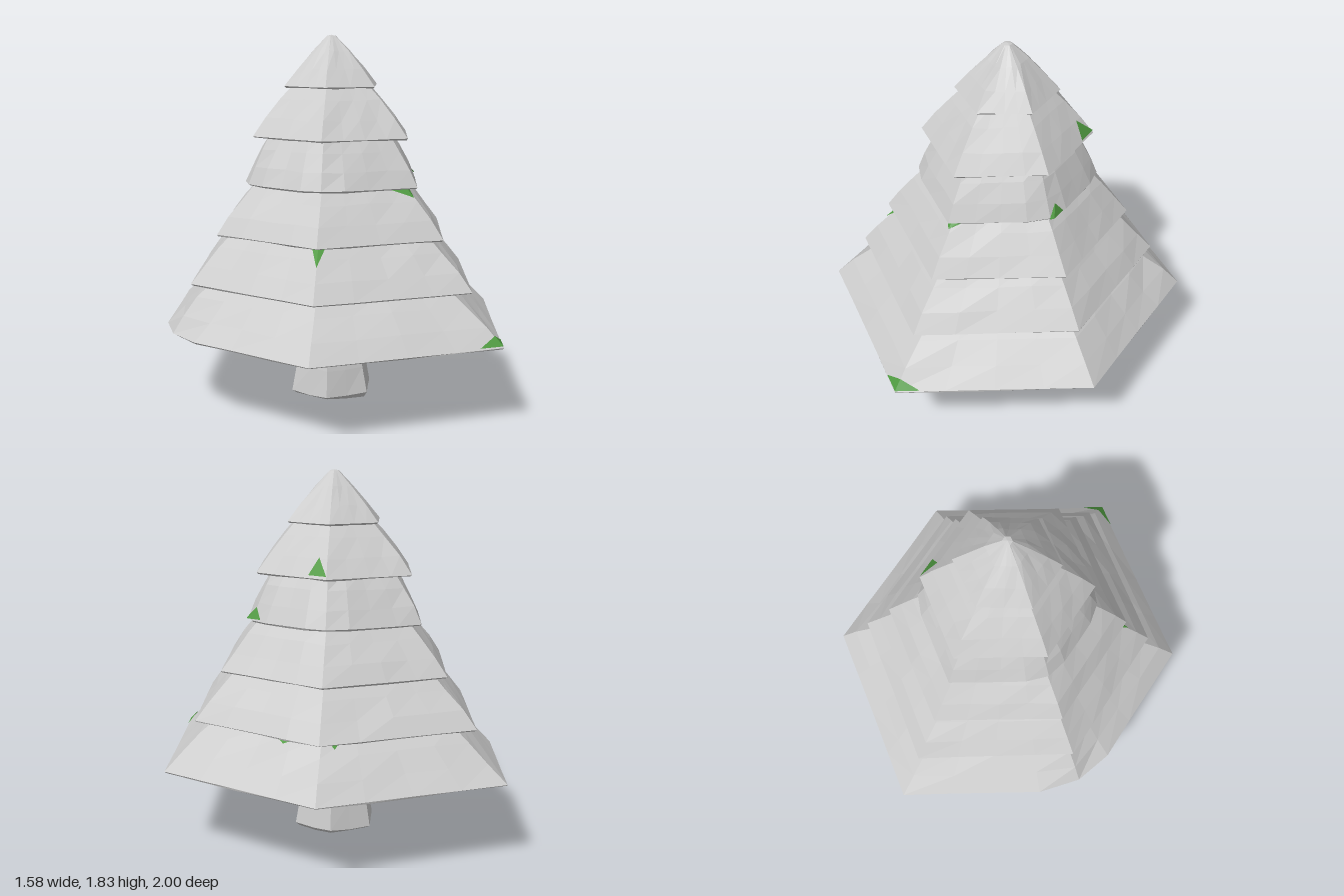
import * as THREE from 'three';

const SNOW = new THREE.MeshStandardMaterial({ color: 0xcccccc, flatShading: true });
const GREEN = new THREE.MeshStandardMaterial({ color: 0x4f9a40, flatShading: true, side: THREE.DoubleSide });
const RAD = Math.PI / 180;

let seed = 7;
const jitter = (a) => {
  seed = (seed * 16807) % 2147483647;
  return (seed / 2147483647 - 0.5) * 2 * a;
};

// hexagon with front and back corners at radius r, the four side corners at r * w
const cornerRadius = (r, w, k) => (k % 3 === 0 ? r : r * w);

// point a fraction f along hexagon side s
function hexPoint(r, w, s, f, y) {
  const ra = cornerRadius(r, w, s), rb = cornerRadius(r, w, s + 1);
  const a = s * 60 * RAD, b = a + 60 * RAD;
  return [
    ra * Math.sin(a) * (1 - f) + rb * Math.sin(b) * f, y,
    ra * Math.cos(a) * (1 - f) + rb * Math.cos(b) * f,
  ];
}

// hexagonal ring, each side split evenly into `split` pieces
function hexRing(r, w, y, split, wobble = 0) {
  const ring = [];
  for (let s = 0; s < 6; s++)
    for (let k = 0; k < split; k++) {
      const p = hexPoint(r, w, s, k / split, y + jitter(wobble * 0.4)), g = 1 + jitter(wobble);
      ring.push([p[0] * g, p[1], p[2] * g]);
    }
  return ring;
}

function pullIn(ring, i, amount) {
  ring[i][0] *= amount;
  ring[i][2] *= amount;
}

function mesh(name, points, index, material) {
  const g = new THREE.BufferGeometry();
  g.setAttribute('position', new THREE.Float32BufferAttribute(points.flat(), 3));
  g.setIndex(index);
  g.computeVertexNormals();
  const m = new THREE.Mesh(g, material);
  m.name = name;
  return m;
}

// skin joining rings from bottom to top
function loft(name, rings, material, closeTop = false) {
  const n = rings[0].length, points = rings.flat(), index = [];
  for (let j = 0; j < rings.length - 1; j++)
    for (let i = 0; i < n; i++) {
      const a = j * n + i, b = j * n + ((i + 1) % n);
      index.push(a, b, b + n, a, b + n, a + n);
    }
  if (closeTop) {
    const top = (rings.length - 1) * n;
    const c = points.push([0, points[top][1] + 0.005, 0]) - 1;
    for (let i = 0; i < n; i++) index.push(c, top + i, top + ((i + 1) % n));
  }
  return mesh(name, points, index, material);
}

// downward facing disc closing a ring
function underside(name, ring, material) {
  const n = ring.length, points = [...ring, [0, ring[0][1], 0]], index = [];
  for (let i = 0; i < n; i++) index.push(n, (i + 1) % n, i);
  return mesh(name, points, index, material);
}

// tiers: rim radius, rim height, upper radius, upper height, side corner factor
const TIERS = [
  [1.0, 0.39, 0.69, 0.64, 0.912],
  [0.83, 0.63, 0.575, 0.88, 0.905],
  [0.665, 0.865, 0.435, 1.12, 0.92],
  [0.515, 1.105, 0.355, 1.355, 0.92],
  [0.458, 1.34, 0.215, 1.6, 0.915],
  [0.262, 1.582, 0.025, 1.828, 0.965],
];

// bare needle patches: tier, angle from, angle to, base and tip along the slope
const PATCHES = [
  [0, -6, 6, 0.03, 0.2],
  [0, 25, 47, 1, 0.85],
  [0, 90, 115, 1, 0.8],
  [0, 121, 130, 1, 0.8],
  [1, -64, -56, 0.95, 0.6],
  [2, -19, 17, 1, 0.75],
  [3, 58, 70, 0.05, 0.28],
  [4, 106, 120, 0.05, 0.36],
];

// point just outside a tier's snow at a compass angle, front = 0
function slopePoint([r0, y0, r1, y1, w], deg, t) {
  const r = r0 + (r1 - r0) * t + 0.012 * Math.sin(t * Math.PI) + 0.008;
  const turn = (deg + 360) % 360, s = Math.floor(turn / 60), local = (turn - s * 60) * RAD;
  const a = cornerRadius(r, w, s) * Math.sin(local);
  const b = cornerRadius(r, w, s + 1) * Math.sin(60 * RAD - local);
  return hexPoint(r, w, s, a / (a + b), y0 + 0.004 + (y1 - y0) * t);
}

function makePatch([tier, from, to, base, tip]) {
  const points = [slopePoint(TIERS[tier], (from + to) / 2, tip)], index = [];
  const steps = 4;
  for (let i = 0; i <= steps; i++) {
    points.push(slopePoint(TIERS[tier], from + ((to - from) * i) / steps, base));
    if (i) index.push(0, i, i + 1);
  }
  return mesh('needlePatch', points, index, GREEN);
}

export function createModel() {
  const tree = new THREE.Group();
  tree.name = 'snowyFirTree';

  // flared six-sided trunk
  const trunk = new THREE.Group();
  trunk.name = 'trunk';
  const trunkRings = [[0.205, 0.004], [0.224, 0.02], [0.2, 0.15], [0.165, 0.3], [0.147, 0.42]]
    .map(([r, y]) => hexRing(r, 0.97, y, 2, 0.015));
  trunk.add(loft('trunkSides', trunkRings, SNOW), underside('trunkBase', trunkRings[0], SNOW));
  tree.add(trunk);

  // snow-covered branch tiers
  TIERS.forEach(([r0, y0, r1, y1, w], k) => {
    const group = new THREE.Group();
    group.name = 'branchTier' + (k + 1);
    const mid = (t) => hexRing(r0 + (r1 - r0) * t + 0.012 * Math.sin(t * Math.PI), w, y0 + (y1 - y0) * t, 4, 0.01);
    const rings = [
      hexRing(r0 - 0.008, w, y0 - 0.004, 4, 0.006),
      hexRing(r0, w, y0 + 0.003, 4, 0.002),
      mid(0.35), mid(0.7), hexRing(r1, w, y1, 4),
    ];
    // worn corner on the lowest tier, back right
    if (k === 0) [0.925, 0.925, 0.965].forEach((amount, j) => pullIn(rings[j], 16, amount));
    // rounded side corners on the fourth tier
    if (k === 3)
      for (const corner of [4, 8, 16, 20]) [0.94, 0.94, 0.95, 0.97].forEach((amount, j) => pullIn(rings[j], corner, amount));
    group.add(loft('snow', rings, SNOW, k === TIERS.length - 1));
    group.add(underside('needles', rings[0], GREEN));
    tree.add(group);
  });

  // needles showing through the snow
  for (const patch of PATCHES) tree.add(makePatch(patch));
  return tree;
}
